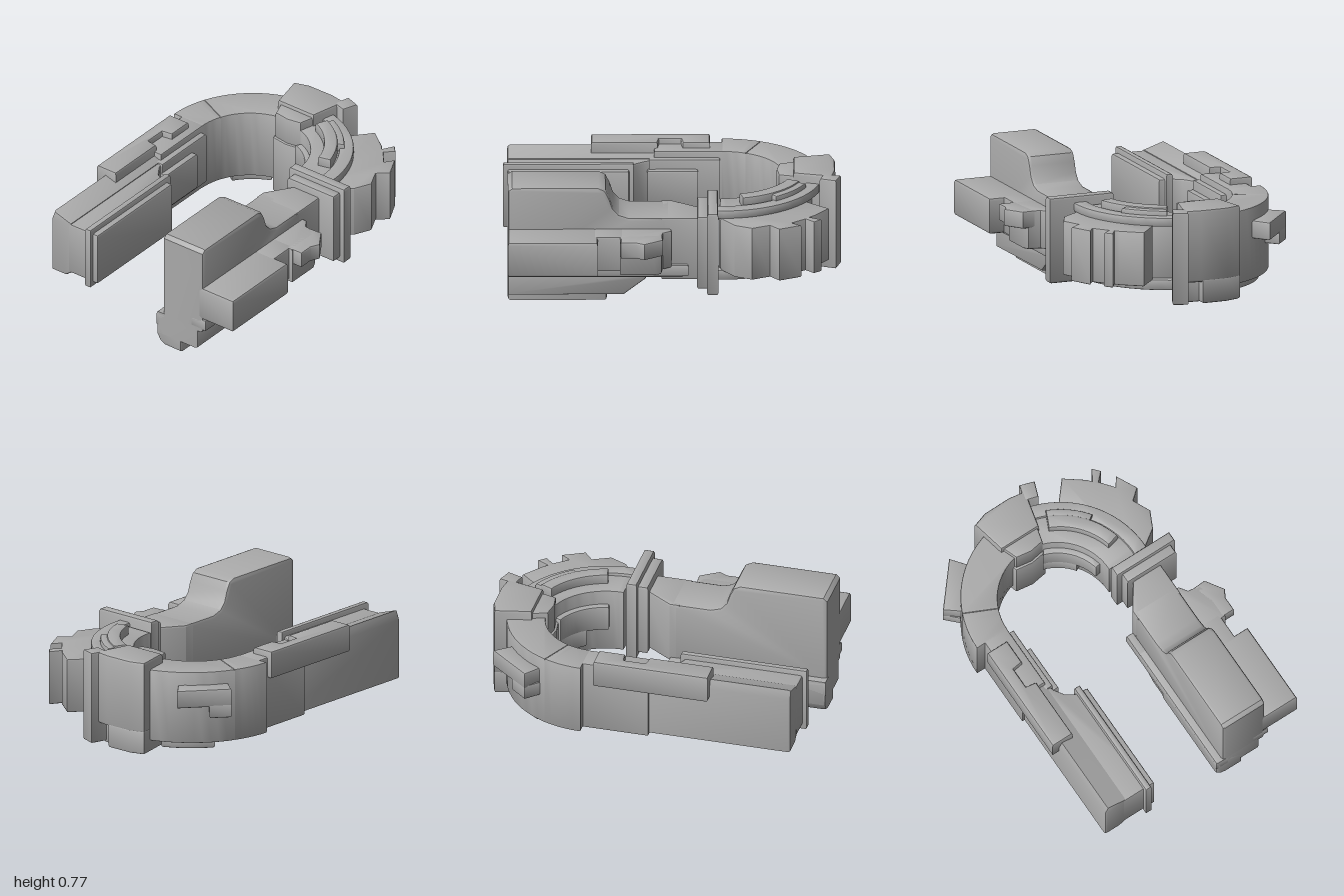
import * as THREE from 'three';
import { toCreasedNormals } from 'three/addons/utils/BufferGeometryUtils.js';

const stone = new THREE.MeshStandardMaterial({ color: 0xaaaaaa });
stone.name = 'stone grey';

// Centre of the curved end
const CX = -0.125, CZ = -0.3;

export function createModel() {
  const model = new THREE.Group();
  model.name = 'horseshoeRuin';

  // Bevelled extrusion of a 2D outline, occupying depth 0..len
  function extrude(points, len, bevel) {
    const shape = new THREE.Shape(points.map(([a, b]) => new THREE.Vector2(a, b)));
    const g = new THREE.ExtrudeGeometry(shape, {
      depth: len - 2 * bevel, bevelEnabled: true, bevelThickness: bevel,
      bevelSize: bevel, bevelOffset: -bevel, bevelSegments: 2,
    });
    return g.translate(0, 0, bevel);
  }
  function add(name, g) {
    const mesh = new THREE.Mesh(toCreasedNormals(g, 0.6), stone);
    mesh.name = name;
    model.add(mesh);
  }
  // Outline in (x, z), raised from y0 to y1
  const plan = (name, pts, y0, y1, b = 0.012) =>
    add(name, extrude(pts, y1 - y0, b).rotateX(Math.PI / 2).translate(0, y1, 0));
  // Outline in (x, y), run from z0 to z1
  const section = (name, pts, z0, z1, b = 0.015) =>
    add(name, extrude(pts, z1 - z0, b).translate(0, 0, z0));
  // Outline in (z, y), run from x0 to x1
  const side = (name, pts, x0, x1, b = 0.015) =>
    add(name, extrude(pts, x1 - x0, b).rotateY(-Math.PI / 2).translate(x1, 0, 0));
  const rect = (a0, a1, b0, b1) => [[a0, b0], [a1, b0], [a1, b1], [a0, b1]];
  const block = (name, x0, x1, y0, y1, z0, z1, b = 0.012) =>
    plan(name, rect(x0, x1, z0, z1), y0, y1, b);

  // Ring sector outline; angles in degrees from +x towards the back
  function sector(r0, r1, a0, a1, innerShift = 0) {
    const n = Math.max(2, Math.ceil((a1 - a0) / 5));
    const at = (r, i, dx) => {
      const a = THREE.MathUtils.degToRad(a0 + (a1 - a0) * i / n);
      return [CX + dx + r * Math.cos(a), CZ - r * Math.sin(a)];
    };
    const pts = [];
    for (let i = 0; i <= n; i++) pts.push(at(r1, i, 0));
    for (let i = n; i >= 0; i--) pts.push(at(r0, i, innerShift));
    return pts;
  }

  // Curved end: left half
  plan('leftArch', sector(0.355, 0.59, 94, 157, -0.02), 0.18, 0.62, 0.008);
  plan('leftArchFoot', sector(0.355, 0.59, 157, 180, -0.02), 0.18, 0.62, 0.008);
  plan('leftArchUnderPlate', sector(0.4, 0.54, 112, 146), 0.13, 0.2);
  plan('leftArchBoss', [[-0.735, -0.635], [-0.525, -0.885], [-0.45, -0.79], [-0.64, -0.56]], 0.43, 0.54);
  plan('leftArchBossFoot', [[-0.735, -0.635], [-0.65, -0.735], [-0.58, -0.66], [-0.66, -0.56]], 0.36, 0.45);

  // Curved end: right half, with flanges, trim and toothed outside
  plan('rightArch', sector(0.355, 0.55, -2, 82, -0.02), 0.2, 0.6, 0.008);
  for (const [y0, y1] of [[0.18, 0.245], [0.565, 0.62]])
    plan('rightArchFlange', sector(0.51, 0.595, -4, 82), y0, y1, 0.01);
  plan('rightArchTopTrim', sector(0.42, 0.5, 14, 66), 0.57, 0.66);
  plan('rightArchTopTrimStep', sector(0.48, 0.54, 36, 66), 0.57, 0.65);
  plan('rightArchInnerPanel', sector(0.32, 0.4, 12, 72, -0.02), 0.35, 0.51);
  plan('rightArchInnerPanelFoot', sector(0.32, 0.4, 36, 72, -0.02), 0.25, 0.37);
  plan('toothedOuter', [
    [0.19, -0.8], [0.3, -0.93], [0.42, -0.84], [0.44, -0.815], [0.48, -0.885], [0.52, -0.84],
    [0.47, -0.79], [0.535, -0.71], [0.575, -0.765], [0.64, -0.635], [0.575, -0.58],
    [0.625, -0.475], [0.575, -0.37], [0.46, -0.29], [0.38, -0.3], [0.33, -0.55]], 0.24, 0.57, 0.01);

  // Keystone with back rib; the notch is left between its lower blocks
  plan('keystone', [[-0.312, -0.935], [-0.22, -0.965], [-0.05, -0.967], [0.055, -0.95],
    [0.0, -0.72], [-0.265, -0.72]], 0.24, 0.68, 0.018);
  plan('keystoneBase', [[-0.312, -0.935], [-0.22, -0.965], [-0.06, -0.967],
    [-0.06, -0.72], [-0.265, -0.72]], 0.11, 0.26, 0.015);
  plan('keystoneBaseInner', [[-0.07, -0.91], [0.03, -0.9], [0.0, -0.72], [-0.07, -0.72]], 0.11, 0.26);
  plan('keystoneNose', [[-0.27, -0.77], [0.01, -0.77], [-0.02, -0.62], [-0.12, -0.605], [-0.225, -0.62]], 0.11, 0.485);
  plan('keystoneNoseTop', [[-0.265, -0.77], [0.005, -0.77], [-0.03, -0.635], [-0.12, -0.62], [-0.215, -0.635]], 0.46, 0.655);
  plan('keystoneRib', [[0.045, -1.0], [0.135, -0.97], [0.1, -0.875], [0.015, -0.9]], 0.12, 0.68);

  // Collar between the curved end and the right leg
  block('collar', 0.215, 0.625, 0.14, 0.66, -0.275, -0.21, 0.018);
  block('collarStep', 0.25, 0.595, 0.17, 0.63, -0.22, -0.15, 0.018);

  // Right leg: tall body with a swept shoulder
  side('rightLegBody', [[0.965, 0.2], [0.965, 0.75], [0.94, 0.77], [0.43, 0.77], [0.39, 0.75],
    [0.365, 0.7], [0.345, 0.64], [0.31, 0.6], [0.25, 0.58], [0.02, 0.58], [0.02, 0.2]], 0.185, 0.485, 0.02);
  plan('rightLegNeck', [[0.3, -0.17], [0.485, -0.17], [0.485, 0.06], [0.185, 0.06], [0.185, 0.0]], 0.19, 0.58);
  side('rightLegLowerStep', [[0.965, 0.075], [0.965, 0.22], [0.14, 0.22], [0.15, 0.18], [0.28, 0.08]], 0.14, 0.445);
  section('rightLegFoot', [[0.14, 0.19], [0.14, 0.06], [0.165, 0.018], [0.2, 0.002], [0.32, 0],
    [0.32, 0.14], [0.25, 0.19]], 0.38, 0.965);
  block('rightLegInnerLedge', 0.14, 0.22, 0.12, 0.215, 0.0, 0.965);
  block('rightLegOuterLedge', 0.4, 0.505, 0.215, 0.29, -0.1, 0.965);

  // Right leg: outer arm and its broken rear end
  block('outerArm', 0.46, 0.71, 0.29, 0.51, 0.435, 0.965, 0.02);
  block('outerArmBridge', 0.46, 0.615, 0.29, 0.51, 0.27, 0.46);
  plan('outerArmEnd', [[0.46, 0.0], [0.51, 0.0], [0.545, 0.05], [0.62, 0.06], [0.64, 0.1],
    [0.64, 0.305], [0.46, 0.305]], 0.275, 0.51);
  plan('outerArmTooth', [[0.58, 0.055], [0.66, 0.05], [0.732, 0.16], [0.705, 0.21], [0.705, 0.3],
    [0.6, 0.3]], 0.405, 0.51);

  // Left leg: slanted outer wall and inner shelf
  section('leftLegWall', [[-0.645, 0.2], [-0.645, 0.56], [-0.625, 0.615], [-0.5, 0.575],
    [-0.5, 0.23], [-0.54, 0.2]], -0.08, 0.965);
  block('leftLegRoot', -0.66, -0.5, 0.18, 0.62, -0.31, 0.1);
  plan('leftLegShelf', [[-0.56, 0.965], [-0.3, 0.965], [-0.3, 0.25], [-0.38, 0.24], [-0.43, 0.21],
    [-0.47, 0.15], [-0.5, 0.06], [-0.56, 0.06]], 0.23, 0.57, 0.015);
  block('leftLegInnerPanel', -0.375, -0.335, 0.2, 0.605, 0.22, 0.99, 0.014);
  block('leftLegInnerTrim', -0.52, -0.465, 0.24, 0.58, -0.29, 0.13);
  block('leftLegInnerTrimPlate', -0.48, -0.43, 0.28, 0.52, -0.16, 0.14);

  // Notched cap along the outer top of the left leg
  plan('leftLegCap', [[-0.69, -0.23], [-0.55, -0.23], [-0.55, -0.07], [-0.615, -0.06], [-0.615, 0.07],
    [-0.55, 0.08], [-0.55, 0.47], [-0.69, 0.47]], 0.49, 0.66, 0.015);

  return model;
}
